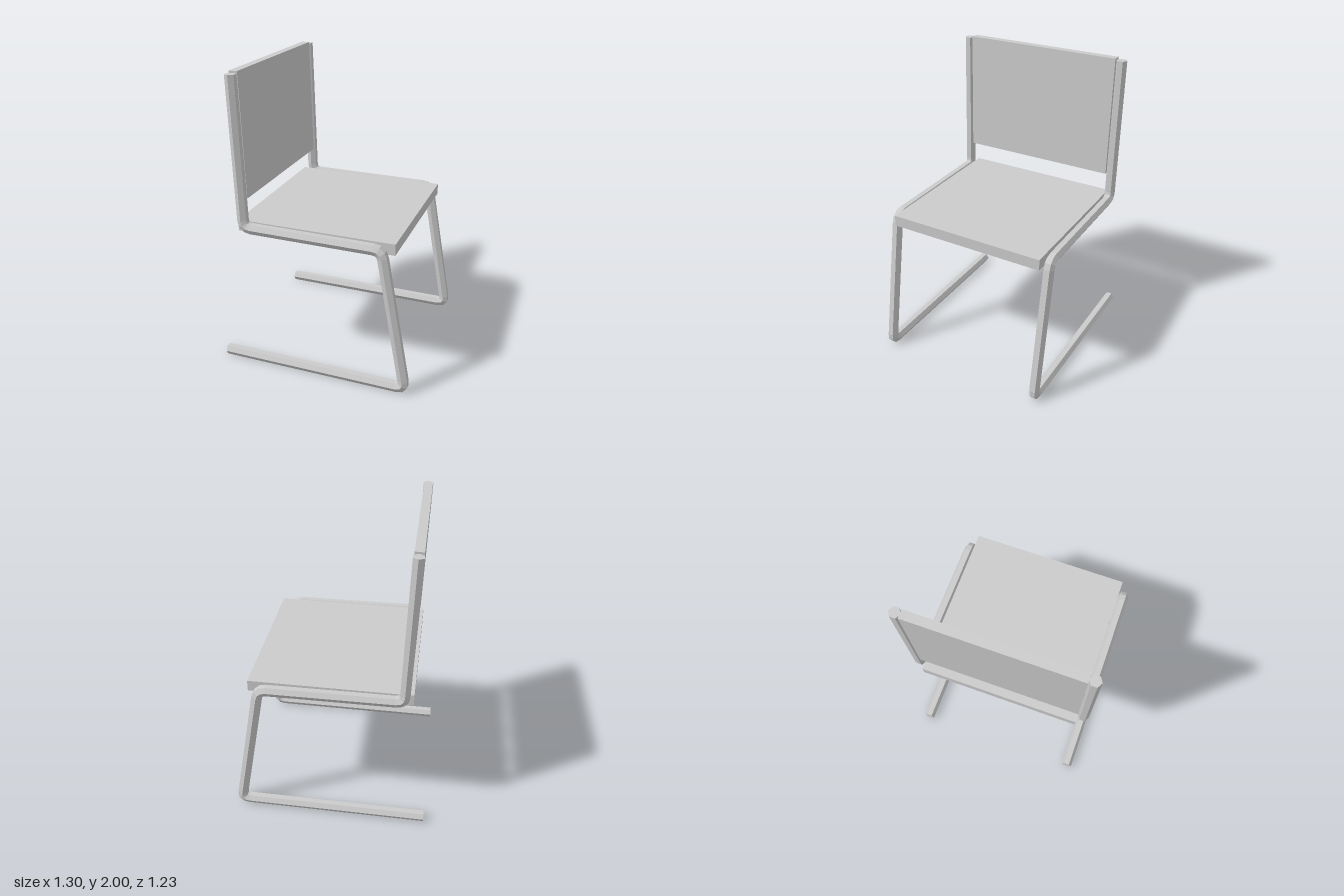
import * as THREE from 'three';

const material = new THREE.MeshStandardMaterial({ color: 0xcccccc, flatShading: true });

// Replaces each inner corner of a path with a short curved bend
function roundCorners(corners, reach, steps) {
  const path = [corners[0]];
  for (let i = 1; i < corners.length - 1; i++) {
    const toward = (q) => corners[i].clone().add(q.clone().sub(corners[i]).setLength(reach));
    const bend = new THREE.QuadraticBezierCurve(toward(corners[i - 1]), corners[i], toward(corners[i + 1]));
    path.push(...bend.getPoints(steps));
  }
  path.push(corners[corners.length - 1]);
  return path;
}

// Sweeps a hexagon along a path in the xy plane, mitred at every point and capped
function hexTube(path, radius) {
  const sides = 6, positions = [], index = [];
  path.forEach((p, i) => {
    const before = p.clone().sub(path[Math.max(i - 1, 0)]).normalize();
    const after = path[Math.min(i + 1, path.length - 1)].clone().sub(p).normalize();
    const t = before.clone().add(after).normalize();
    const mitre = 1 / Math.max(t.dot(before), t.dot(after));
    for (let j = 0; j < sides; j++) {
      const a = Math.PI / 6 + (j * Math.PI * 2) / sides;
      const n = Math.cos(a) * radius * mitre;
      positions.push(p.x - t.y * n, p.y + t.x * n, Math.sin(a) * radius);
    }
  });
  for (let i = 0; i < path.length - 1; i++) {
    for (let j = 0; j < sides; j++) {
      const a = i * sides + j, b = i * sides + ((j + 1) % sides);
      index.push(a, b, b + sides, a, b + sides, a + sides);
    }
  }
  const last = (path.length - 1) * sides;
  for (let j = 1; j < sides - 1; j++) {
    index.push(0, j + 1, j, last, last + j, last + j + 1);
  }
  const geometry = new THREE.BufferGeometry();
  geometry.setAttribute('position', new THREE.Float32BufferAttribute(positions, 3));
  geometry.setIndex(index);
  const flat = geometry.toNonIndexed();
  flat.computeVertexNormals();
  return flat;
}

export function createModel() {
  const chair = new THREE.Group();
  chair.name = 'cantileverChair';
  const add = (name, geometry, x, y, z) => {
    const mesh = new THREE.Mesh(geometry, material);
    mesh.name = name;
    mesh.position.set(x, y, z);
    chair.add(mesh);
    return mesh;
  };

  // Side frames: floor rail, leaning front leg, seat rail, back post
  const corners = [[-0.655, 0.036], [0.622, 0.036], [0.449, 0.992], [-0.481, 0.998], [-0.509, 1.987]]
    .map(([x, y]) => new THREE.Vector2(x, y));
  const frame = hexTube(roundCorners(corners, 0.055, 3), 0.037);
  add('leftFrame', frame, 0, 0, -0.577);
  add('rightFrame', frame, 0, 0, 0.577);

  // Seat panel
  add('seat', new THREE.BoxGeometry(1.062, 0.075, 1.085), -0.006, 0.992, 0);

  // Backrest panel, leaning with the posts
  const backrest = add('backrest', new THREE.BoxGeometry(0.057, 0.812, 1.085), -0.5, 1.593, 0);
  backrest.rotation.z = 0.026;

  return chair;
}
